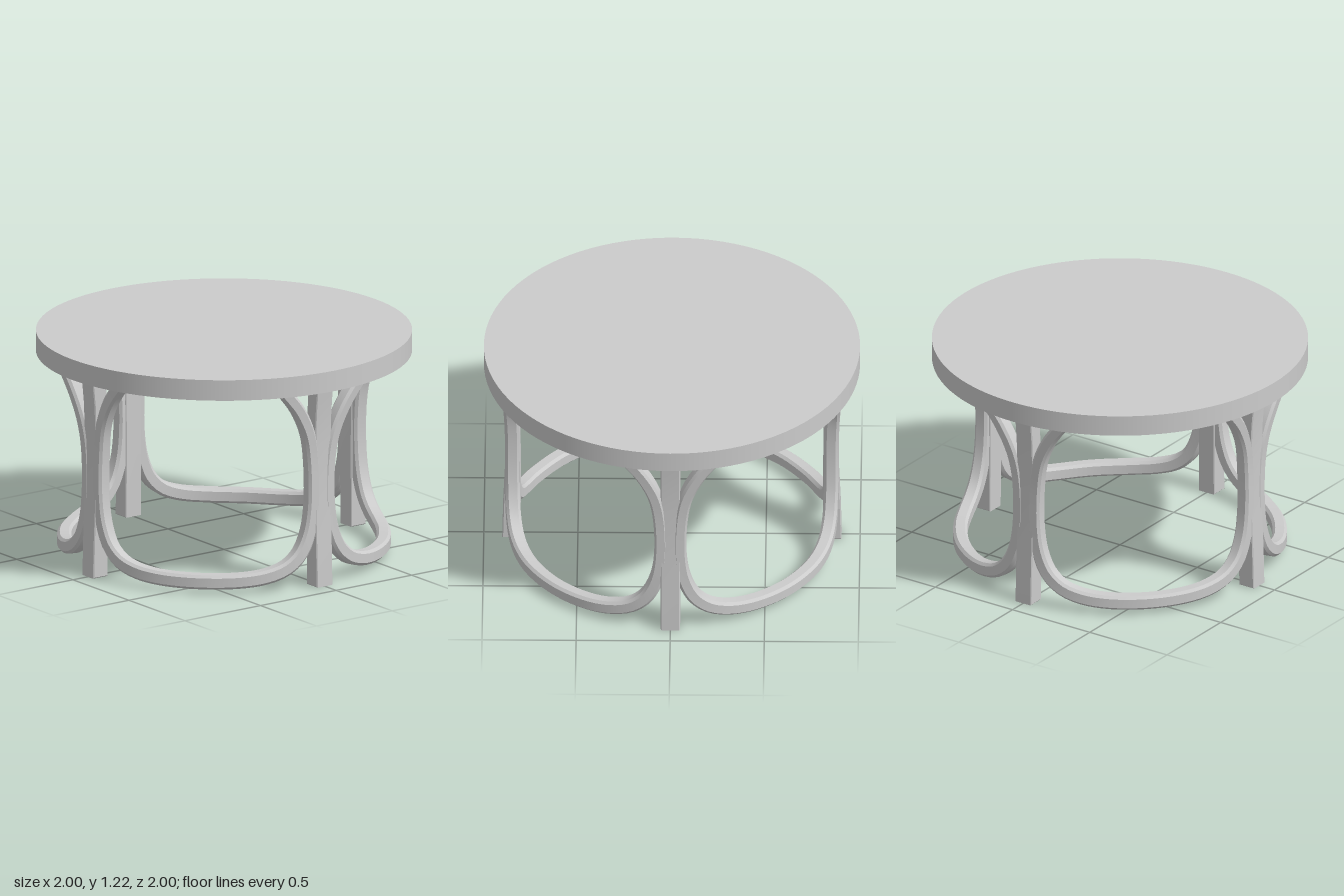
import * as THREE from 'three';
import { toCreasedNormals } from 'three/addons/utils/BufferGeometryUtils.js';

const material = new THREE.MeshStandardMaterial({ color: 0xcccccc });

function addMesh(parent, geometry, name) {
  const mesh = new THREE.Mesh(geometry, material);
  mesh.name = name;
  parent.add(mesh);
  return mesh;
}

// Square post, slightly bowed: side profile (radius, height) extruded across its width
function legGeometry() {
  const outer = [[0.902, 0], [0.897, 0.2], [0.886, 0.45], [0.884, 0.75], [0.892, 0.95], [0.908, 1.11]];
  const inner = [[0.815, 1.11], [0.808, 0.8], [0.803, 0.45], [0.805, 0]];
  const shape = new THREE.Shape([...outer, ...inner].map(([r, y]) => new THREE.Vector2(r, y)));
  const width = 0.104;
  const geometry = new THREE.ExtrudeGeometry(shape, { depth: width - 0.01, bevelEnabled: true,
    bevelThickness: 0.005, bevelSize: 0.005, bevelOffset: -0.005, bevelSegments: 1 });
  geometry.translate(0, 0, -(width - 0.01) / 2);
  geometry.rotateY(-Math.PI / 2); // profile faces +z
  return toCreasedNormals(geometry, 0.5);
}

// Bent rail path wrapped on the leg circle, from the front leg to the next one
function railPath() {
  // sideways offset from the leg, height, radius
  const half = [
    [0.24, 1.115, 0.9], [0.15, 0.99, 0.878], [0.085, 0.85, 0.862], [0.057, 0.7, 0.852],
    [0.052, 0.45, 0.85], [0.075, 0.3, 0.85], [0.125, 0.19, 0.85], [0.2, 0.122, 0.85],
    [0.3, 0.085, 0.85], [0.43, 0.067, 0.85],
  ].map(([s, y, r]) => ({ a: Math.asin(s / 0.85), y, r }));
  const mirrored = half.slice().reverse().map((p) => ({ ...p, a: Math.PI / 2 - p.a }));
  const points = [...half, { a: Math.PI / 4, y: 0.062, r: 0.85 }, ...mirrored].map(
    ({ a, y, r }) => new THREE.Vector3(r * Math.sin(a), y, r * Math.cos(a)));
  return new THREE.CatmullRomCurve3(points, false, 'centripetal');
}

// Sweep a chamfered rectangle along the path, keeping one side facing outwards
function railGeometry(path, steps) {
  const w = 0.038, t = 0.039, c = 0.014;
  const section = [[w, t - c], [w - c, t], [c - w, t], [-w, t - c],
    [-w, c - t], [c - w, -t], [w - c, -t], [w, c - t]];
  const n = section.length;
  const positions = [], index = [];
  for (let i = 0; i <= steps; i++) {
    const p = path.getPointAt(i / steps);
    const tangent = path.getTangentAt(i / steps);
    const out = new THREE.Vector3(p.x, 0, p.z).normalize();
    out.addScaledVector(tangent, -out.dot(tangent)).normalize();
    const side = new THREE.Vector3().crossVectors(tangent, out);
    // a little slimmer towards the upper ends
    const k = 1 - 0.12 * THREE.MathUtils.smoothstep(p.y, 0.1, 0.6);
    for (const [u, v] of section) {
      const q = p.clone().addScaledVector(out, u).addScaledVector(side, v * k);
      positions.push(q.x, q.y, q.z);
    }
  }
  for (let i = 0; i < steps; i++) {
    for (let j = 0; j < n; j++) {
      const a = i * n + j, b = i * n + (j + 1) % n;
      index.push(a, b, a + n, b, b + n, a + n);
    }
  }
  const last = steps * n;
  for (let j = 1; j < n - 1; j++) {
    index.push(0, j + 1, j, last, last + j, last + j + 1);
  }
  const geometry = new THREE.BufferGeometry();
  geometry.setAttribute('position', new THREE.Float32BufferAttribute(positions, 3));
  geometry.setIndex(index);
  return toCreasedNormals(geometry, 0.6);
}

export function createModel() {
  const table = new THREE.Group();
  table.name = 'roundTable';

  // Round top
  const top = addMesh(table, new THREE.CylinderGeometry(1, 1, 0.113, 96), 'tableTop');
  top.position.y = 1.1585;

  // Four legs with a bent rail between each neighbouring pair
  const leg = legGeometry();
  const rail = railGeometry(railPath(), 80);
  const sides = ['front', 'left', 'back', 'right'];
  sides.forEach((side, i) => {
    const angle = i * Math.PI / 2;
    addMesh(table, leg, side + 'Leg').rotation.y = angle;
    addMesh(table, rail, side + 'BentRail').rotation.y = angle;
  });
  return table;
}
